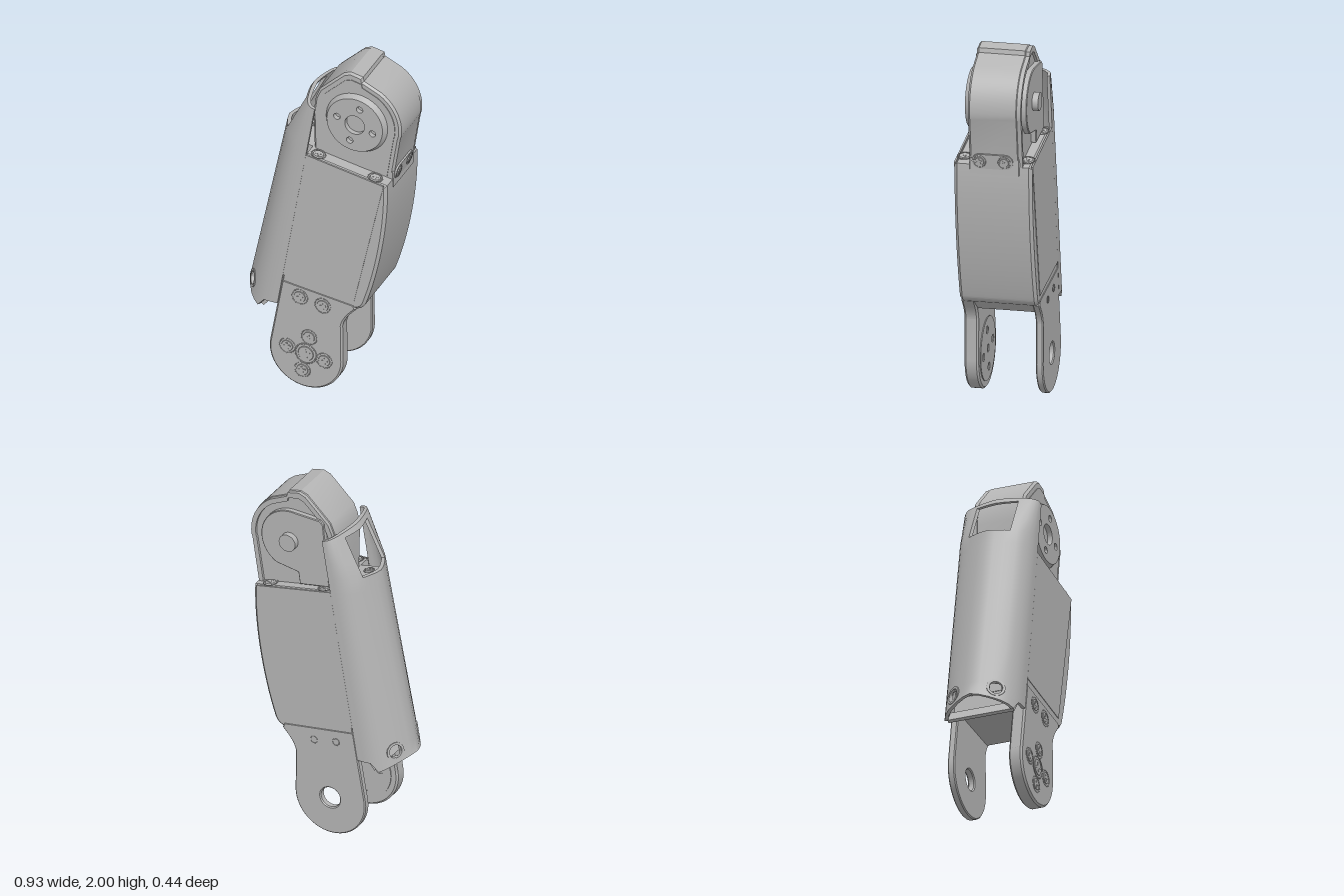
import * as THREE from 'three';
import { toCreasedNormals } from 'three/addons/utils/BufferGeometryUtils.js';

const grey = new THREE.MeshStandardMaterial({ color: 0xb4b4b4, side: THREE.DoubleSide });
grey.name = 'grey';

export function createModel() {
  const model = new THREE.Group();
  model.name = 'limbSegment';
  const add = (name, geo, parent = model) => {
    const m = new THREE.Mesh(geo, grey);
    m.name = name;
    parent.add(m);
    return m;
  };
  const poly = pts => new THREE.Shape(pts.map(p => new THREE.Vector2(p[0], p[1])));
  const circle = (x, y, r) => new THREE.Path().absarc(x, y, r, 0, Math.PI * 2, true);
  // Solid between two depths, with an optional chamfer kept inside the outline
  const slab = (name, shape, z0, z1, b = 0) => {
    const g = new THREE.ExtrudeGeometry(shape, {
      depth: z1 - z0 - 2 * b, bevelEnabled: b > 0, bevelSize: b, bevelThickness: b,
      bevelOffset: -b, bevelSegments: 1, curveSegments: 32 });
    g.translate(0, 0, z0 + b);
    return add(name, toCreasedNormals(g, 0.5));
  };
  // Cross-head screw facing the given direction
  const screw = (pos, r, dir = [0, 0, 1]) => {
    const s = new THREE.Group();
    s.name = 'screw';
    add('screwRim', new THREE.TorusGeometry(r * 0.93, r * 0.06, 8, 28), s);
    add('screwHead', toCreasedNormals(
      new THREE.CylinderGeometry(r * 0.65, r * 0.75, 0.008, 28).rotateX(Math.PI / 2), 0.5), s);
    for (const a of [0, Math.PI / 2]) {
      add('screwCross', new THREE.BoxGeometry(r * 0.8, r * 0.2, 0.006).rotateZ(a + 0.17), s).position.z = 0.003;
    }
    s.position.set(...pos);
    s.quaternion.setFromUnitVectors(new THREE.Vector3(0, 0, 1), new THREE.Vector3(...dir).normalize());
    model.add(s);
  };

  // Main body with bulged edge cover
  const body = new THREE.Shape();
  body.moveTo(-0.055, 1.475);
  body.lineTo(0.41, 1.39);
  body.bezierCurveTo(0.42, 1.15, 0.36, 0.82, 0.285, 0.61);
  body.quadraticCurveTo(0.27, 0.575, 0.23, 0.565);
  body.lineTo(-0.205, 0.63);
  slab('body', body, -0.212, 0.212, 0.016);
  const panel = poly([[-0.055, 1.473], [0.395, 1.391], [0.225, 0.62], [-0.188, 0.68]]);
  slab('frontPanel', panel, 0.206, 0.215);
  slab('backPanel', panel, -0.215, -0.206);
  for (const z of [-0.172, 0.172]) {
    for (const x of [0, 0.33]) screw([x, 1.478 - 0.183 * (x + 0.055), z], 0.042, [0.182, 0.983, 0]);
  }

  // Head block: rounded top with a small step at the crown
  const headPts = [[0.405, 1.36], [0.45, 1.65]];
  for (let a = -8; a <= 60; a += 6) {
    const t = a * Math.PI / 180;
    headPts.push([0.205 + 0.253 * Math.cos(t), 1.7 + 0.253 * Math.sin(t)]);
  }
  headPts.push([0.24, 1.96], [0.235, 1.985], [0.165, 2.0], [0.125, 1.985], [-0.015, 1.85], [-0.04, 1.79],
    [-0.052, 1.7], [-0.045, 1.42]);
  const outline = k => headPts.map(p => [0.205 + (p[0] - 0.205) * k, 1.68 + (p[1] - 1.68) * k]);
  slab('head', poly(outline(1)), -0.148, 0.128, 0.012);
  slab('headFace', poly(outline(0.87)), 0.12, 0.132);
  const rim = poly(outline(0.985));
  rim.holes.push(poly(outline(0.88)));
  slab('headBackRim', rim, -0.162, -0.14);

  // Output flange with bolt holes
  const flange = new THREE.Shape().absarc(0.205, 1.7, 0.162, 0, Math.PI * 2);
  flange.holes.push(circle(0.205, 1.7, 0.057));
  for (let i = 0; i < 4; i++) {
    const a = 1.3 + i * Math.PI / 2;
    flange.holes.push(circle(0.205 + 0.107 * Math.cos(a), 1.7 + 0.107 * Math.sin(a), 0.019));
  }
  slab('flangeFace', flange, 0.135, 0.162);
  const cone = add('flangeCone', new THREE.CylinderGeometry(0.162, 0.182, 0.036, 48, 1, true).rotateX(Math.PI / 2));
  cone.position.set(0.205, 1.7, 0.144);

  // Back bearing plate and stub
  const bearing = new THREE.Shape();
  bearing.moveTo(0.01, 1.85);
  bearing.lineTo(0.03, 1.87);
  bearing.lineTo(0.205, 1.88);
  bearing.absarc(0.205, 1.7, 0.18, Math.PI / 2, -Math.PI / 3, true);
  bearing.lineTo(0.16, 1.52);
  bearing.lineTo(0.15, 1.45);
  bearing.lineTo(-0.03, 1.48);
  slab('bearingPlate', bearing, -0.178, -0.14, 0.004);
  add('stub', toCreasedNormals(new THREE.CylinderGeometry(0.05, 0.05, 0.05, 28).rotateX(Math.PI / 2), 0.5))
    .position.set(0.21, 1.7, -0.186);

  // Bolted tab on the edge of the head
  const tab = new THREE.Shape();
  tab.absarc(-0.07, 0, 0.042, Math.PI / 2, Math.PI * 1.5);
  tab.absarc(0.07, 0, 0.042, -Math.PI / 2, Math.PI / 2);
  const tabMesh = add('boltTab', toCreasedNormals(
    new THREE.ExtrudeGeometry(tab, { depth: 0.03, bevelEnabled: false, curveSegments: 20 }), 0.5));
  tabMesh.rotation.set(0, Math.PI / 2, -0.17, 'ZYX');
  tabMesh.position.set(0.393, 1.418, 0);
  for (const z of [-0.065, 0.07]) screw([0.423, 1.413, z], 0.036, [0.985, -0.17, 0]);
  slab('headFoot', poly([[0.3, 1.34], [0.414, 1.34], [0.415, 1.44], [0.3, 1.44]]), -0.148, 0.128, 0.006);

  // Fork arms and bridge
  const arm = hole => {
    const s = new THREE.Shape();
    s.moveTo(-0.195, 0.65);
    s.lineTo(-0.265, 0.25);
    s.absarc(-0.055, 0.213, 0.213, Math.PI * 0.945, Math.PI * 2);
    s.lineTo(0.155, 0.44);
    s.quadraticCurveTo(0.16, 0.49, 0.235, 0.565);
    s.lineTo(0.225, 0.595);
    if (hole) s.holes.push(circle(-0.055, 0.215, 0.058));
    return s;
  };
  slab('frontArm', arm(false), 0.138, 0.215, 0.01);
  slab('backArm', arm(true), -0.215, -0.175, 0.006);
  slab('bridge', poly([[-0.2, 0.64], [-0.218, 0.54], [0.17, 0.51], [0.235, 0.57], [0.225, 0.6]]), -0.2, 0.2);

  // Arm fasteners and the inner hub
  screw([-0.055, 0.215, 0.214], 0.065);
  for (const [x, y] of [[-0.163, 0.237], [0.052, 0.197], [-0.036, 0.323], [-0.075, 0.108], [-0.09, 0.565], [0.043, 0.543]]) {
    screw([x, y, 0.214], 0.048);
  }
  const hub = new THREE.Shape().absarc(-0.055, 0.215, 0.175, 0, Math.PI * 2);
  for (const [x, y] of [[-0.163, 0.237], [0.052, 0.197], [-0.036, 0.323], [-0.075, 0.108], [-0.055, 0.215]]) {
    hub.holes.push(circle(x, y, 0.022));
  }
  slab('innerHub', hub, 0.133, 0.142);
  for (const [x, y] of [[-0.09, 0.565], [0.043, 0.543]]) {
    add('backRivet', new THREE.TorusGeometry(0.02, 0.002, 6, 20)).position.set(x, y, -0.215);
  }

  // Bracket behind the shell window, and the rib across the shell foot
  slab('shellBracket', poly([[-0.19, 1.4], [-0.04, 1.38], [-0.04, 1.47], [-0.18, 1.5]]), -0.12, 0.12);
  for (const z of [-0.065, 0.065]) screw([-0.135, 1.493, z], 0.03, [0.2, 1, 0]);
  slab('shellRib', poly([[-0.325, 0.45], [-0.31, 0.44], [-0.27, 0.49], [-0.285, 0.51]]), -0.19, 0.19);

  // Side shell: leaning C section with a window near the top
  const half = [[0, 0.215], [0.16, 0.215], [0.32, 0.212], [0.45, 0.2], [0.58, 0.182], [0.7, 0.152],
    [0.785, 0.12], [0.85, 0.095], [0.95, 0.045]];
  const section = [...half, [1, 0], ...half.slice().reverse().map(p => [p[0], -p[1]])];
  const rows = [0.44, 0.515, 0.585, 0.8, 1.0, 1.2, 1.4, 1.48, 1.56, 1.65, 1.775, 1.805];
  const point = (i, j, inner) => {
    const [f, z] = section[i];
    let y = rows[j];
    const depth = y < 1.56 ? 0.246 - 0.04 * (y - 0.55) : 0.206 - 0.43 * (y - 1.56);
    const u = depth * f;
    if (j === 0) y = u < 0.09 ? 0.49 : 0.44 + Math.max(0, u - 0.11) * 0.5;
    if (j === rows.length - 1) y -= 0.03 * (1 - f);
    const x = -0.055 + 0.168 * (y - 1.475) - u;
    return inner ? [x + 0.022 * f, y, z * 0.92] : [x, y, z];
  };
  const solid = (i, j) => {
    if (i < 0 || j < 0 || i >= section.length - 1 || j >= rows.length - 1) return false;
    const z = Math.abs(section[i][1] + section[i + 1][1]) / 2, y = (rows[j] + rows[j + 1]) / 2;
    if (j === 1 && z > 0.095 && z < 0.152) return false;
    return !(z < 0.12 && y > 1.56 && y < 1.775);
  };
  const verts = [];
  const quad = (a, b, c, d) => verts.push(...a, ...b, ...c, ...a, ...c, ...d);
  for (let i = 0; i < section.length - 1; i++) {
    for (let j = 0; j < rows.length - 1; j++) {
      if (!solid(i, j)) continue;
      const c = [[i, j], [i, j + 1], [i + 1, j + 1], [i + 1, j]];
      const o = c.map(p => point(p[0], p[1], false)), n = c.map(p => point(p[0], p[1], true));
      quad(o[3], o[2], o[1], o[0]);
      quad(n[0], n[1], n[2], n[3]);
      [[i - 1, j], [i, j + 1], [i + 1, j], [i, j - 1]].forEach((q, k) => {
        const m = (k + 1) % 4;
        if (!solid(q[0], q[1])) quad(o[k], o[m], n[m], n[k]);
      });
    }
  }
  const shell = new THREE.BufferGeometry();
  shell.setAttribute('position', new THREE.Float32BufferAttribute(verts, 3));
  add('sideShell', toCreasedNormals(shell, 0.7));

  // Round eyelets in the lower shell
  const ringPts = [[0.037, -0.012], [0.051, -0.012], [0.051, 0.004], [0.037, 0.004], [0.037, -0.012]];
  for (const s of [-1, 1]) {
    const ring = add('shellEyelet', toCreasedNormals(
      new THREE.LatheGeometry(ringPts.map(p => new THREE.Vector2(...p)), 32), 0.6));
    ring.position.set(-0.401, 0.55, s * 0.1235);
    ring.quaternion.setFromUnitVectors(new THREE.Vector3(0, 1, 0),
      new THREE.Vector3(-0.83, 0.14, s * 0.55).normalize());
  }
  return model;
}
